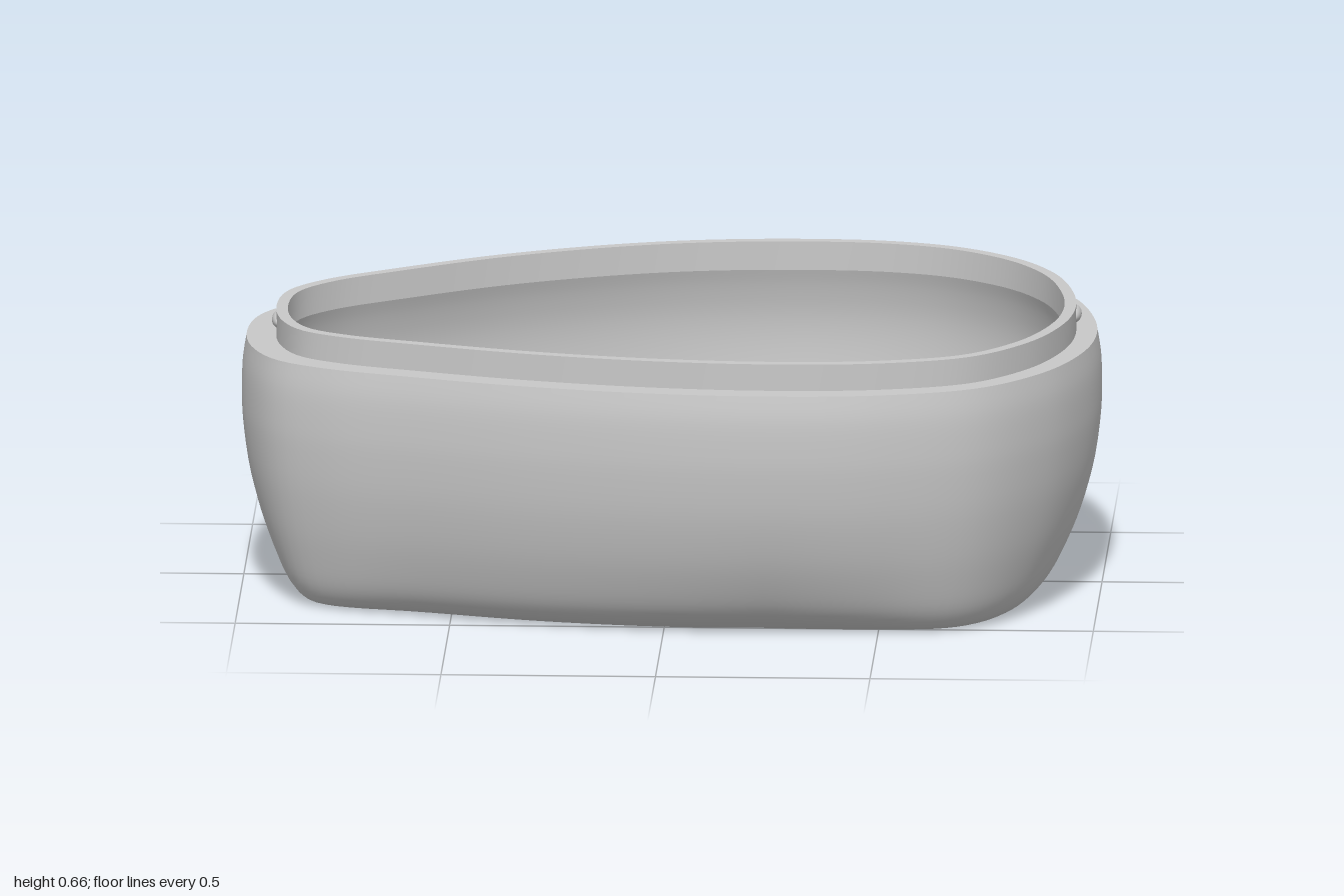
import * as THREE from 'three';
import { RoundedBoxGeometry } from 'three/addons/geometries/RoundedBoxGeometry.js';

const N = 160;

// Egg outline seen from above as [x, z]
const EGG = [[-1, 0.06], [-0.97, -0.105], [-0.875, -0.235], [-0.7, -0.365], [-0.45, -0.52], [-0.18, -0.635],
  [0.03, -0.688], [0.27, -0.708], [0.49, -0.692], [0.67, -0.63], [0.828, -0.505], [0.93, -0.345], [0.983, -0.16],
  [1, 0.03], [0.975, 0.22], [0.893, 0.425], [0.742, 0.597], [0.52, 0.68], [0.26, 0.704], [-0.02, 0.685],
  [-0.32, 0.625], [-0.61, 0.533], [-0.805, 0.457], [-0.92, 0.372], [-0.982, 0.24]];
const curve = new THREE.CatmullRomCurve3(EGG.map(([x, z]) => new THREE.Vector3(x, 0, z)), true, 'centripetal');
const points = [], rawNormals = [];
for (let i = 0; i < N; i++) {
  points.push(curve.getPointAt(i / N));
  const t = curve.getTangentAt(i / N);
  rawNormals.push(new THREE.Vector3(t.z, 0, -t.x));
}
// Averaged normals keep inset loops smooth
const normals = rawNormals.map((_, i) => {
  const n = new THREE.Vector3();
  for (let k = -6; k <= 6; k++) n.add(rawNormals[(i + k + N) % N]);
  return n.normalize();
});

// Outline moved inwards: less on the diagonals towards the base, and
// deep insets shrink towards the centre
function insetPoint(i, inset, y) {
  const n = normals[i];
  const d = inset * (1 - 0.8 * Math.abs(n.x * n.z) * (1 - Math.min(y, 0.6) / 0.6));
  const p = points[i].clone().addScaledVector(n, -Math.min(d, 0.16));
  return p.multiplyScalar(1 - Math.max(0, d - 0.16) / 0.75);
}

// Smooth band through a profile of [inset, y]
function band(profile) {
  const position = [], index = [], m = profile.length;
  for (let i = 0; i < N; i++) {
    for (const [inset, y] of profile) {
      const p = insetPoint(i, inset, y);
      position.push(p.x, y, p.z);
    }
  }
  for (let i = 0; i < N; i++) {
    for (let j = 0; j < m - 1; j++) {
      const a = i * m + j, c = ((i + 1) % N) * m + j;
      index.push(a, a + 1, c, c, a + 1, c + 1);
    }
  }
  const g = new THREE.BufferGeometry();
  g.setAttribute('position', new THREE.Float32BufferAttribute(position, 3));
  g.setIndex(index);
  g.computeVertexNormals();
  return g;
}

// Refine a rough profile to a smooth one
function smooth(profile, count) {
  const s = new THREE.SplineCurve(profile.map(p => new THREE.Vector2(...p)));
  return s.getPoints(count).map(p => [p.x, p.y]);
}

// Shape in plan (shape y = -z) raised to a slab
function slab(shape, y, height) {
  const g = new THREE.ExtrudeGeometry(shape, { depth: height, bevelEnabled: false, curveSegments: 20 });
  return g.rotateX(-Math.PI / 2).translate(0, y, 0);
}

// Battery housing section with softened shoulders, as [z, y] points
function section(top, half, flat) {
  const path = new THREE.Path();
  path.moveTo(-half, 0);
  path.lineTo(-flat - 0.03, top * 0.82);
  path.quadraticCurveTo(-flat, top, -flat + 0.04, top);
  path.lineTo(flat - 0.04, top);
  path.quadraticCurveTo(flat, top, flat + 0.03, top * 0.82);
  path.lineTo(half, 0);
  return path.getPoints(8);
}

export function createModel() {
  const group = new THREE.Group();
  const grey = new THREE.MeshStandardMaterial({ color: 0xc8c8c8 });
  grey.name = 'grey plastic';
  const add = (name, geometry, parent = group) => {
    const mesh = new THREE.Mesh(geometry, grey);
    mesh.name = name;
    parent.add(mesh);
    return mesh;
  };

  // Outside wall and ledge
  add('outerWall', band(smooth([[0.26, 0], [0.205, 0.004], [0.16, 0.022], [0.117, 0.06], [0.08, 0.12], [0.045, 0.2],
    [0.017, 0.3], [0.003, 0.4], [0, 0.47], [0.002, 0.54], [0.011, 0.6]], 36)));
  add('rimLedge', band([[0.011, 0.6], [0.085, 0.6]]));

  // Raised lip and inside wall, set slightly towards the wide end
  const lining = new THREE.Group();
  lining.name = 'lining';
  lining.position.x = 0.01;
  group.add(lining);
  add('lipOutside', band([[0.07, 0.598], [0.07, 0.663]]), lining);
  add('lipTop', band([[0.07, 0.663], [0.097, 0.663]]), lining);
  add('lipInside', band([[0.097, 0.663], [0.097, 0.595]]), lining);
  add('innerWall', band(smooth([[0.097, 0.595], [0.084, 0.55], [0.072, 0.48], [0.072, 0.4], [0.084, 0.3],
    [0.11, 0.2], [0.145, 0.12], [0.185, 0.075], [0.245, 0.048], [0.31, 0.038]], 30)), lining);

  // Floor plate with the recess opening and its two side notches
  const floor = new THREE.Shape(points.map((_, i) => {
    const p = insetPoint(i, 0.26, 0);
    return new THREE.Vector2(p.x, -p.z);
  }));
  const X = 0.405, Z = 0.36, NX = 0.455, NZ = 0.21;
  floor.holes.push(new THREE.Path([[X, NZ], [X, Z], [-X, Z], [-X, NZ], [-NX, NZ], [-NX, -NZ], [-X, -NZ],
    [-X, -Z], [X, -Z], [X, -NZ], [NX, -NZ], [NX, NZ]].map(p => new THREE.Vector2(...p))));
  add('floor', slab(floor, 0, 0.04));

  // Housing over the recess: a bridge along x, closed by two end plates
  const housing = new THREE.Group();
  housing.name = 'housing';
  group.add(housing);
  const outer = section(0.173, 0.378, 0.215), inner = section(0.151, 0.358, 0.2);
  const lift = p => new THREE.Vector2(p.x, p.y + 0.03);
  const alongX = (shape, x, length) => new THREE.ExtrudeGeometry(shape, { depth: length, bevelEnabled: false })
    .rotateY(Math.PI / 2).translate(x, 0, 0);
  const bridge = new THREE.Shape([...outer, ...inner.slice().reverse()].map(lift));
  add('housingCover', alongX(bridge, -0.422, 0.844), housing);
  const plate = new THREE.Shape([...inner, new THREE.Vector2(NZ, 0), new THREE.Vector2(NZ, 0.018),
    new THREE.Vector2(-NZ, 0.018), new THREE.Vector2(-NZ, 0)].map(lift));
  for (const side of [-1, 1]) {
    add('housingEnd', alongX(plate, side * 0.412 - 0.01, 0.02), housing);
    const tab = add('latchTab', new RoundedBoxGeometry(0.08, 0.055, 0.47, 4, 0.02), housing);
    tab.position.set(side * 0.442, 0.066, 0);
  }

  // Screw arms: a rounded end with a hole, cut at a slant where they meet the wall
  const arm = (x, z, angle, lengthA, lengthB) => {
    const s = new THREE.Shape(), r = 0.06;
    s.moveTo(0, -r);
    s.lineTo(lengthA, -r);
    s.lineTo(lengthB, r);
    s.lineTo(0, r);
    s.absarc(0, 0, r, Math.PI / 2, Math.PI * 1.5, false);
    const hole = new THREE.Path();
    hole.absarc(0, 0, 0.02, 0, Math.PI * 2, true);
    s.holes.push(hole);
    const mesh = add('screwArm', slab(s, 0.295, 0.105));
    mesh.position.set(x, 0, z);
    mesh.rotation.y = angle;
  };
  arm(-0.77, 0.13, Math.PI, 0.18, 0.18);
  arm(-0.715, -0.23, Math.PI, 0.055, 0.165);
  arm(0.56, 0.47, 0, 0.22, 0.31);

  // Snap bumps on the outside of the lip
  for (const [x, z] of [[0.934, -0.02], [-0.912, 0.11]]) {
    const bump = add('snapBump', new THREE.SphereGeometry(1, 24, 16));
    bump.scale.set(0.018, 0.019, 0.05);
    bump.position.set(x, 0.637, z);
  }
  return group;
}
